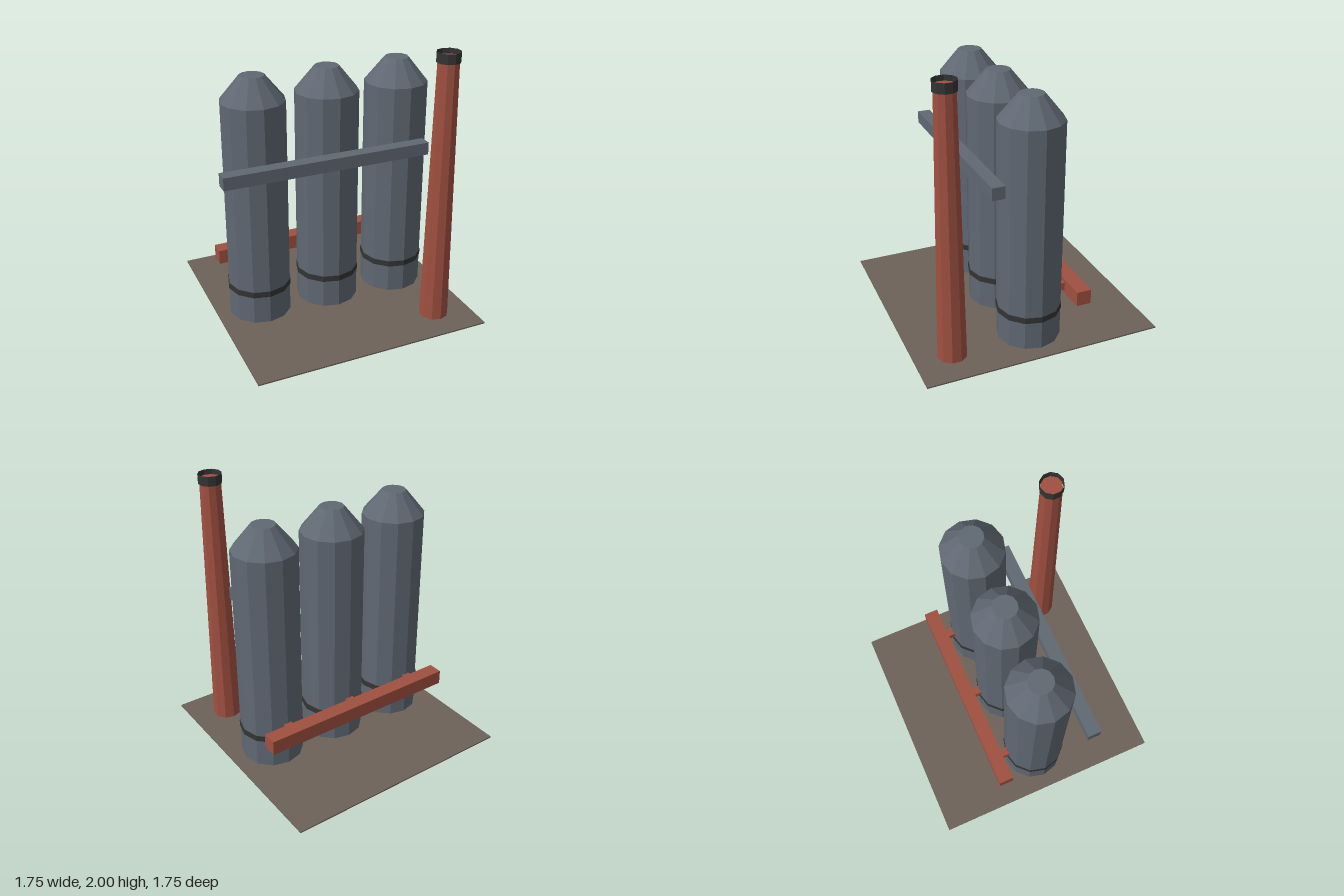
import * as THREE from 'three';

const material = (name, color, extra = {}) => {
  const m = new THREE.MeshStandardMaterial({ color, flatShading: true, ...extra });
  m.name = name;
  return m;
};

export function createModel() {
  const slate = material('slate steel', 0x606873);
  const brick = material('rust red', 0xa05040);
  const dark = material('dark iron', 0x343434, { side: THREE.DoubleSide });
  const earth = material('brown ground', 0x6c6258);

  const model = new THREE.Group();
  model.name = 'tankPlant';

  const add = (parent, name, geometry, mat, x, y, z) => {
    const mesh = new THREE.Mesh(geometry, mat);
    mesh.name = name;
    mesh.position.set(x, y, z);
    parent.add(mesh);
  };
  // Upright cylinder or cone standing between two heights
  const column = (parent, name, mat, rTop, rBottom, y0, y1, sides, x = 0, z = 0, open = false) =>
    add(parent, name, new THREE.CylinderGeometry(rTop, rBottom, y1 - y0, sides, 1, open),
      mat, x, (y0 + y1) / 2, z);
  // Box given by its extents on each axis
  const block = (parent, name, mat, [x0, x1], [y0, y1], [z0, z1]) =>
    add(parent, name, new THREE.BoxGeometry(x1 - x0, y1 - y0, z1 - z0),
      mat, (x0 + x1) / 2, (y0 + y1) / 2, (z0 + z1) / 2);

  // Ground pad
  block(model, 'groundPad', earth, [-0.873, 0.873], [0, 0.01], [-0.873, 0.873]);

  // Three tanks, each with a conical roof, a band and a pipe stub at the back
  for (const x of [-0.546, 0, 0.546]) {
    const tank = new THREE.Group();
    tank.name = 'tank';
    tank.position.x = x;
    column(tank, 'tankBody', slate, 0.229, 0.229, 0.005, 1.643, 12);
    column(tank, 'tankRoof', slate, 0.087, 0.229, 1.643, 1.817, 12);
    column(tank, 'tankBand', dark, 0.234, 0.234, 0.222, 0.265, 12);
    block(tank, 'pipeStub', brick, [-0.03, 0.03], [0.3, 0.36], [-0.28, -0.21]);
    model.add(tank);
  }

  // Manifold behind the tanks and duct along the front
  block(model, 'rearManifold', brick, [-0.764, 0.764], [0.276, 0.385], [-0.382, -0.273]);
  block(model, 'frontDuct', slate, [-0.873, 0.655], [1.162, 1.253], [0.226, 0.321]);

  // Tapered chimney with an open collar
  column(model, 'chimney', brick, 0.075, 0.107, 0.005, 1.965, 10, 0.6, 0.6);
  column(model, 'chimneyCollar', dark, 0.084, 0.084, 1.93, 2, 10, 0.6, 0.6, true);

  return model;
}
